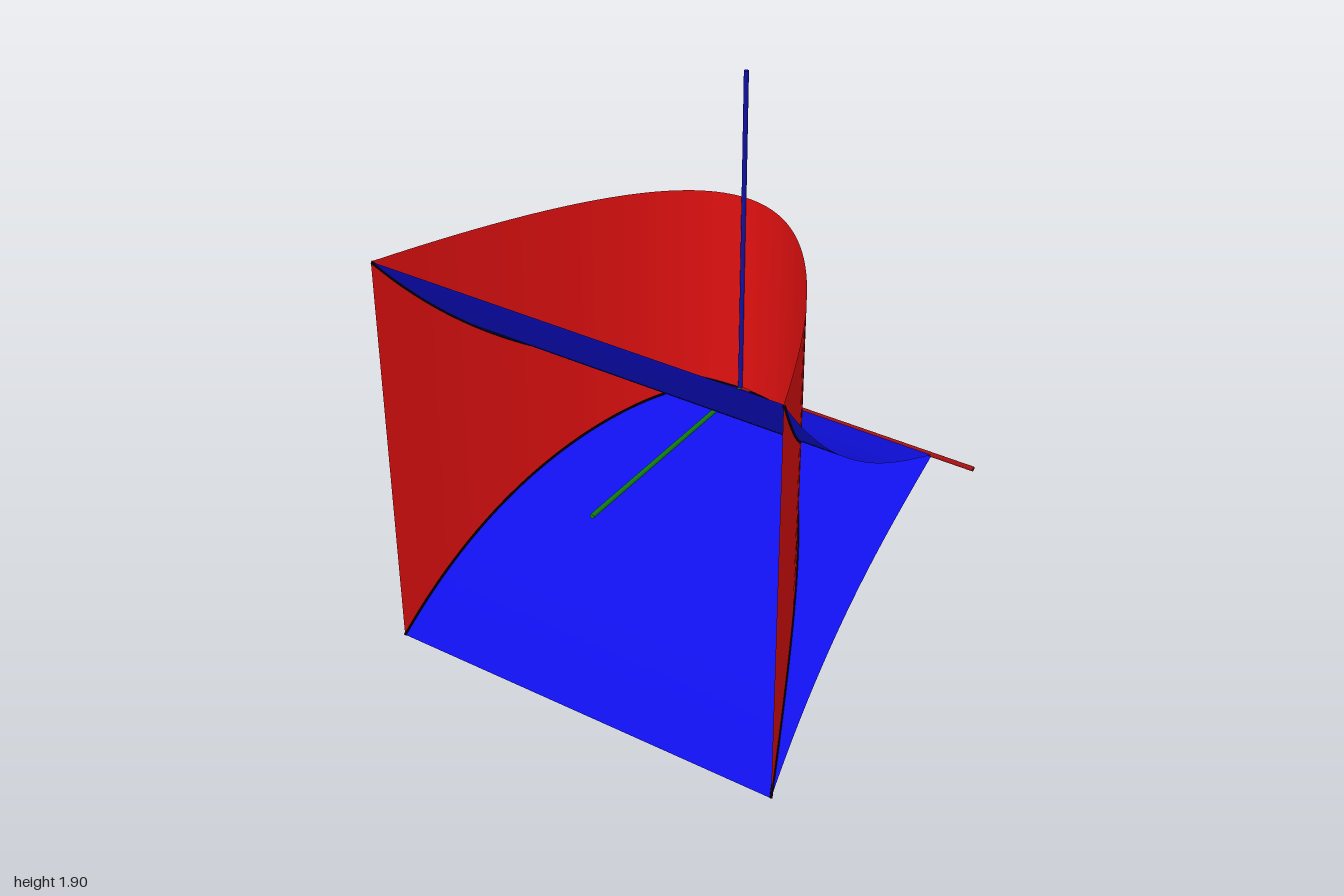
import * as THREE from 'three';

const CX = -0.125, CY = 0.737, Z0 = -0.486; // shared origin of sheets and axes
const HALF = 0.727, DEPTH = 0.976;

// height of the blue sheets above the origin for a depth fraction t
const rise = (t) => HALF * (0.6 * t + 0.4 * t ** 3);

function material(color, side = THREE.FrontSide) {
  return new THREE.MeshStandardMaterial({ color, side });
}

// smooth open surface: point(u, v, target) with u, v in 0..1
function sheet(name, color, segU, segV, point) {
  const geo = new THREE.PlaneGeometry(1, 1, segU, segV);
  const pos = geo.attributes.position;
  for (let i = 0; i < pos.count; i++) {
    const [x, y, z] = point(pos.getX(i) + 0.5, pos.getY(i) + 0.5);
    pos.setXYZ(i, x, y, z);
  }
  geo.computeVertexNormals();
  const mesh = new THREE.Mesh(geo, material(color, THREE.DoubleSide));
  mesh.name = name;
  return mesh;
}

// thin round rod starting at the origin point
function axis(name, color, direction, length) {
  const geo = new THREE.CylinderGeometry(0.008, 0.008, length, 16);
  geo.translate(0, length / 2, 0);
  const mesh = new THREE.Mesh(geo, material(color));
  mesh.quaternion.setFromUnitVectors(new THREE.Vector3(0, 1, 0), direction);
  mesh.position.set(CX, CY, Z0);
  mesh.name = name;
  return mesh;
}

export function createModel() {
  const group = new THREE.Group();
  group.name = 'intersectingSurfaces';

  // upright parabolic cylinder
  group.add(sheet('parabolicSheet', 0xe01010, 64, 1, (u, v) => {
    const s = 2 * u - 1;
    return [CX + HALF * s, CY + HALF * (2 * v - 1), Z0 + DEPTH * s * s];
  }));

  for (const [label, sign] of [['upper', 1], ['lower', -1]]) {
    // curved sheet opening forward from the shared back edge
    group.add(sheet(label + 'CurvedSheet', 0x1010e8, 1, 40, (u, v) => [
      CX + HALF * (2 * u - 1), CY + sign * rise(v), Z0 + DEPTH * v,
    ]));

    // dark line where the two surfaces meet
    const points = [];
    for (let i = 0; i <= 48; i++) {
      const s = i / 24 - 1, t = s * s;
      points.push(new THREE.Vector3(CX + HALF * s, CY + sign * rise(t), Z0 + DEPTH * t));
    }
    const curve = new THREE.CatmullRomCurve3(points);
    const line = new THREE.Mesh(new THREE.TubeGeometry(curve, 120, 0.005, 8), material(0x000000));
    line.name = label + 'IntersectionLine';
    group.add(line);
  }

  // coordinate axes
  group.add(axis('widthAxis', 0xa01010, new THREE.Vector3(1, 0, 0), 0.875));
  group.add(axis('depthAxis', 0x108010, new THREE.Vector3(0, 0, 1), 0.875));
  group.add(axis('heightAxis', 0x1010a0, new THREE.Vector3(0, 1, 0), 1.165));

  return group;
}
